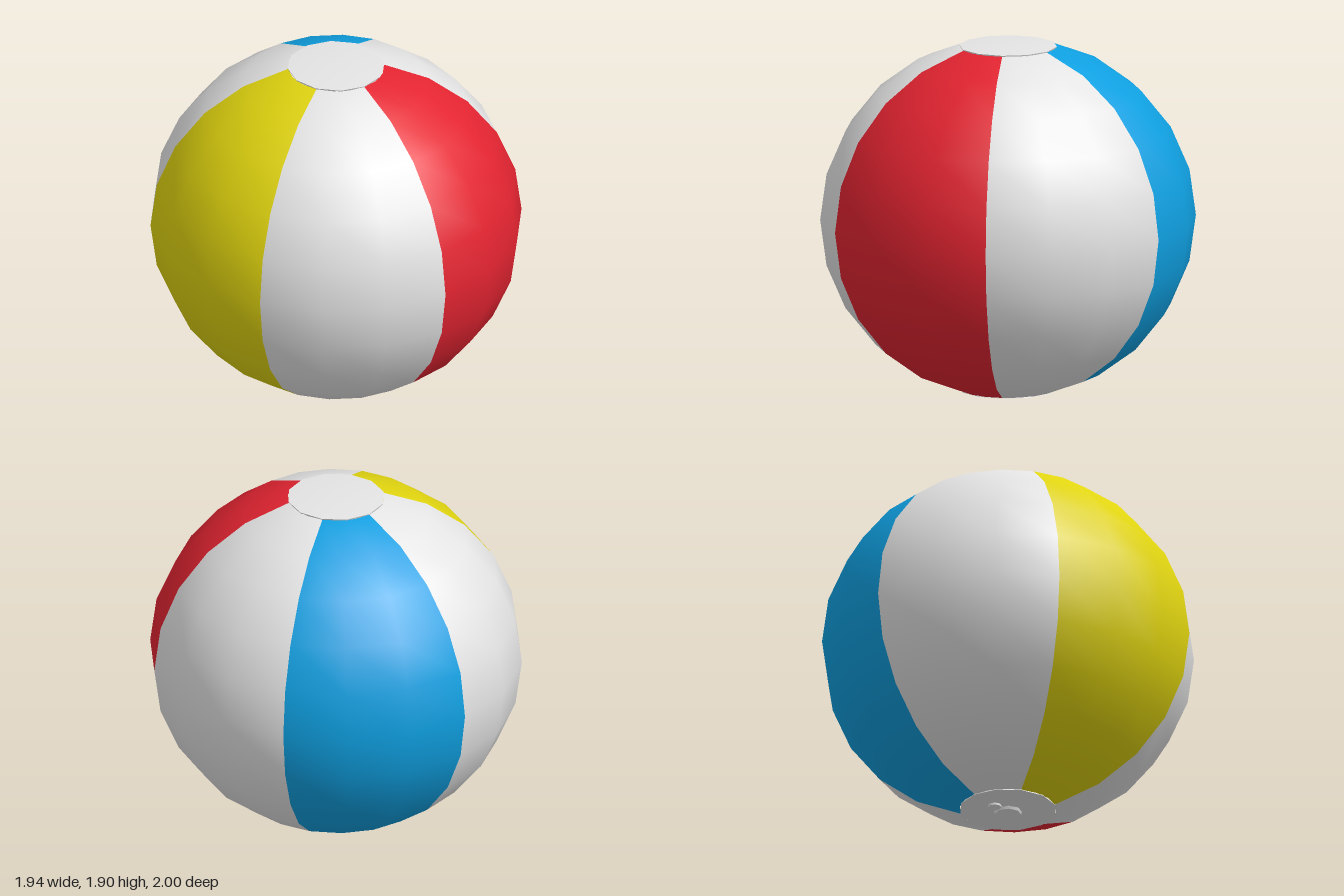
import * as THREE from 'three';
import { toCreasedNormals } from 'three/addons/utils/BufferGeometryUtils.js';

const material = (name, color) => new THREE.MeshStandardMaterial({ name, color });

export function createModel() {
  const ball = new THREE.Group();
  ball.name = 'beachBall';

  const white = material('white', 0xe4e4e4);
  const red = material('red', 0xe32431);
  const blue = material('blue', 0x0f9fe0);
  const yellow = material('yellow', 0xe0d40f);

  const add = (name, geometry, mat, x = 0, y = 0, z = 0) => {
    const mesh = new THREE.Mesh(geometry, mat);
    mesh.name = name;
    mesh.position.set(x, y, z);
    ball.add(mesh);
    return mesh;
  };

  // Six panels, each two segments wide, running anticlockwise from the front
  const squashX = 0.983, squashY = 0.958, centreY = 0.955;
  const step = Math.PI / 12;
  const panels = [
    ['redPanel', red], ['whitePanelLeft', white], ['bluePanel', blue],
    ['whitePanelBack', white], ['yellowPanel', yellow], ['whitePanelFront', white],
  ];
  panels.forEach(([name, mat], i) => {
    const panel = new THREE.SphereGeometry(
      1, 2, 10, Math.PI / 2 + i * Math.PI / 3, Math.PI / 3, step, step * 10);
    panel.scale(squashX, squashY, 1);
    add(name, panel, mat, 0, centreY, 0);
  });

  // Shallow end caps with a thin rim
  const cap = (name, profile) => {
    const points = profile.map(([r, y]) => new THREE.Vector2(r, y));
    const geometry = toCreasedNormals(new THREE.LatheGeometry(points, 12), 0.6);
    geometry.scale(squashX, 1, 1);
    add(name, geometry, white);
  };
  cap('topCap', [[0.258, 1.876], [0.262, 1.886], [0, 1.905]]);
  cap('bottomCap', [[0, 0.012], [0.262, 0.026], [0.258, 0.036]]);

  // Inflation valve and its pull tab under the ball
  add('valve', new THREE.CylinderGeometry(0.075, 0.07, 0.018, 8), white, 0, 0.009, 0);
  add('valveTab', new THREE.CylinderGeometry(0.036, 0.036, 0.012, 8), white, 0, 0.012, -0.102);

  return ball;
}
